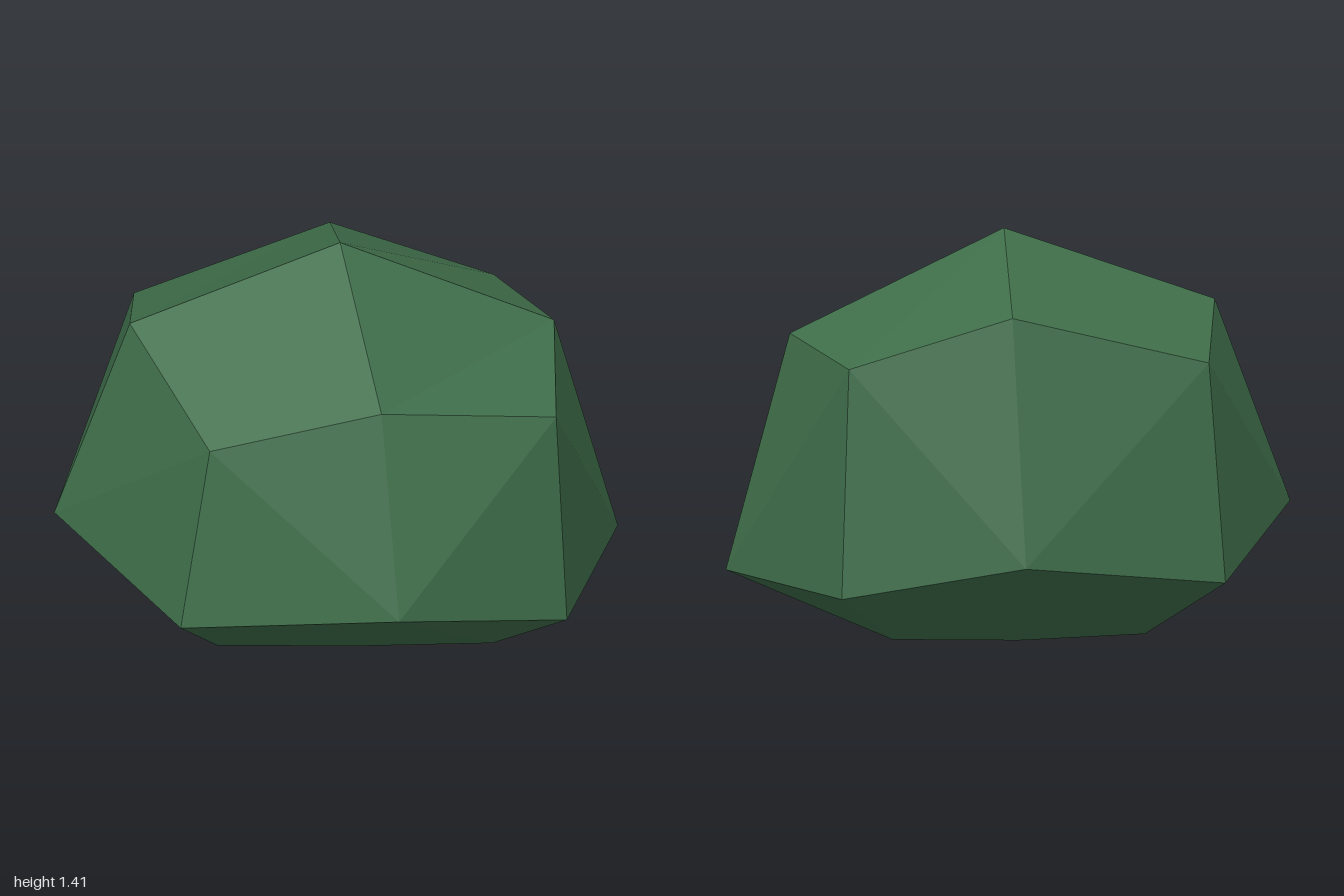
import * as THREE from 'three';

// Rings of eight [x, y, z], counter-clockwise seen from above, starting at the
// front -x corner. Even entries are corners, odd entries are side middles.
const CROWN = [
  [-0.64, 0.875, 0.40], [-0.07, 1.03, 0.62], [0.57, 0.945, 0.67], [0.76, 1.05, 0.10],
  [0.72, 1.0, -0.44], [0.18, 1.19, -0.66], [-0.54, 1.0, -0.71], [-0.74, 1.14, -0.18],
];
const WAIST = [
  [-0.76, 0.215, 0.43], [-0.07, 0.30, 0.81], [0.60, 0.16, 0.70], [1.0, 0.21, 0.10],
  [0.76, 0.18, -0.48], [0.18, 0.31, -0.81], [-0.59, 0.21, -0.745], [-1.0, 0.41, -0.25],
];
const BASE = [
  [-0.53, 0, 0.17], [-0.05, 0, 0.34], [0.40, 0, 0.47], [0.47, 0, 0.06],
  [0.52, 0, -0.33], [0.10, 0, -0.49], [-0.37, 0, -0.50], [-0.50, 0, -0.12],
];
const APEX = [0, 1.41, -0.03];
const BOTTOM = [0, 0, 0];

function bushGeometry() {
  const positions = [];
  const tri = (a, b, c) => positions.push(...a, ...b, ...c);
  // Splits a quad along the a-c diagonal
  const quad = (a, b, c, d) => { tri(a, b, c); tri(a, c, d); };

  // Side bands: the diagonal always joins a side middle of the waist to a corner
  const band = (lower, upper, flip) => {
    for (let i = 0; i < 8; i++) {
      const j = (i + 1) % 8;
      if ((i % 2 === 0) === flip) quad(lower[i], lower[j], upper[j], upper[i]);
      else quad(lower[j], upper[j], upper[i], lower[i]);
    }
  };
  band(WAIST, CROWN, false);
  band(BASE, WAIST, true);

  // Cap: four quads around the apex with alternating diagonals
  for (let i = 0; i < 8; i += 2) {
    const before = CROWN[(i + 7) % 8], after = CROWN[i + 1];
    if (i % 4 === 0) quad(APEX, before, CROWN[i], after);
    else quad(before, CROWN[i], after, APEX);
  }

  // Flat underside
  for (let i = 0; i < 8; i++) tri(BOTTOM, BASE[(i + 1) % 8], BASE[i]);

  const geometry = new THREE.BufferGeometry();
  geometry.setAttribute('position', new THREE.Float32BufferAttribute(positions, 3));
  geometry.computeVertexNormals(); // unshared corners give flat facets
  return geometry;
}

export function createModel() {
  const group = new THREE.Group();
  group.name = 'bush';
  const leafGreen = new THREE.MeshStandardMaterial({ color: 0x3f6e4a });
  leafGreen.name = 'leaf green';
  const foliage = new THREE.Mesh(bushGeometry(), leafGreen);
  foliage.name = 'foliage';
  group.add(foliage);
  return group;
}
